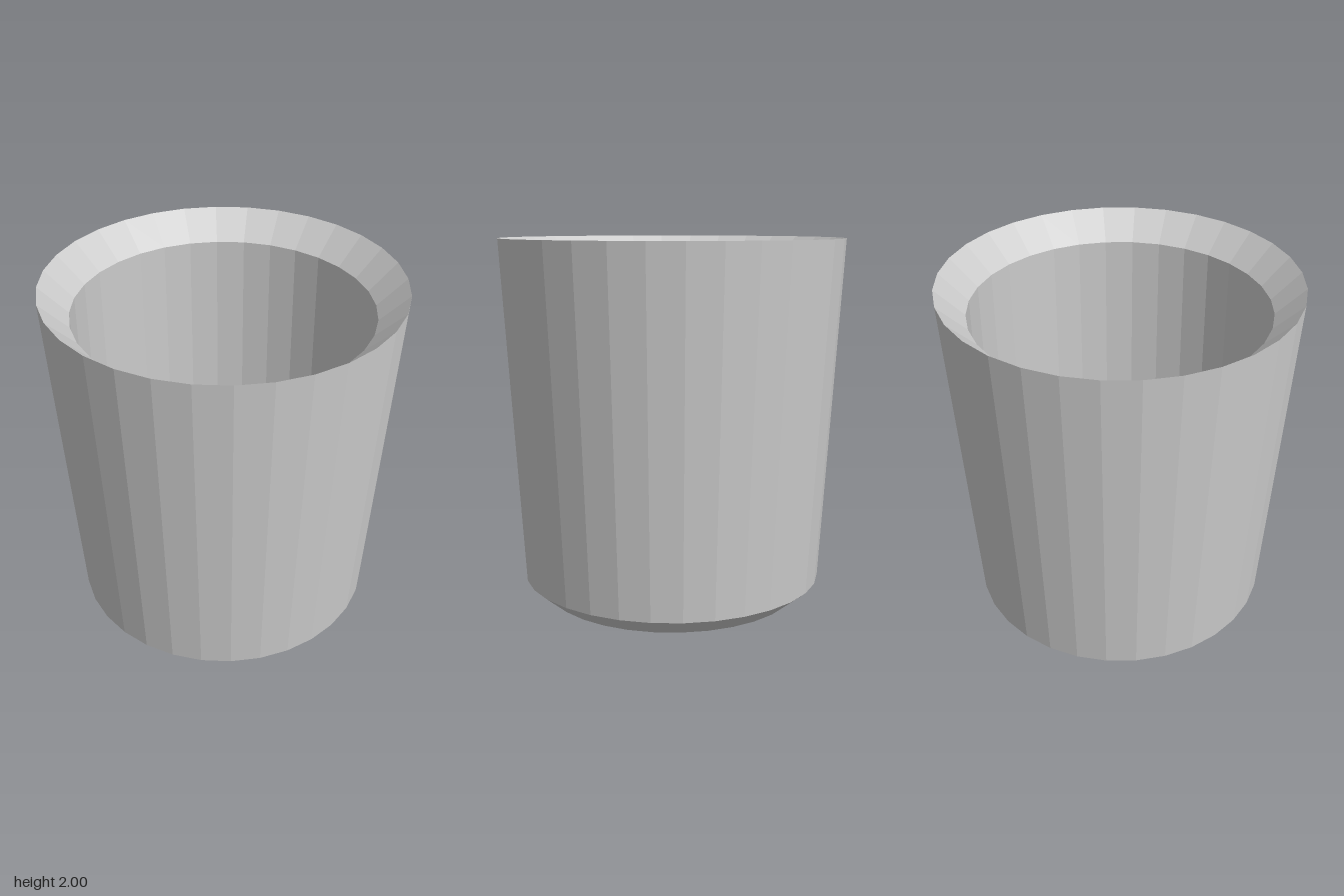
import * as THREE from 'three';

export function createModel() {
  const group = new THREE.Group();
  group.name = 'cup';
  const material = new THREE.MeshStandardMaterial({ color: 0xcccccc, flatShading: true });

  // Each part is a 32-sided turned surface, given as [radius, height] points
  const turned = (name, points) => {
    const profile = points.map(([r, y]) => new THREE.Vector2(r, y));
    const mesh = new THREE.Mesh(new THREE.LatheGeometry(profile, 32), material);
    mesh.name = name;
    group.add(mesh);
  };

  // Flat underside, chamfered foot and flared outer wall
  turned('base', [[0, 0], [0.72, 0], [0.84, 0.1]]);
  turned('outerWall', [[0.84, 0.1], [0.95, 2]]);

  // Rim sloping inward to the opening
  turned('rim', [[0.95, 2], [0.797, 1.85]]);

  // Straight inner wall and floor
  turned('innerWall', [[0.797, 1.85], [0.797, 0.1]]);
  turned('floor', [[0.797, 0.1], [0, 0.1]]);

  return group;
}
